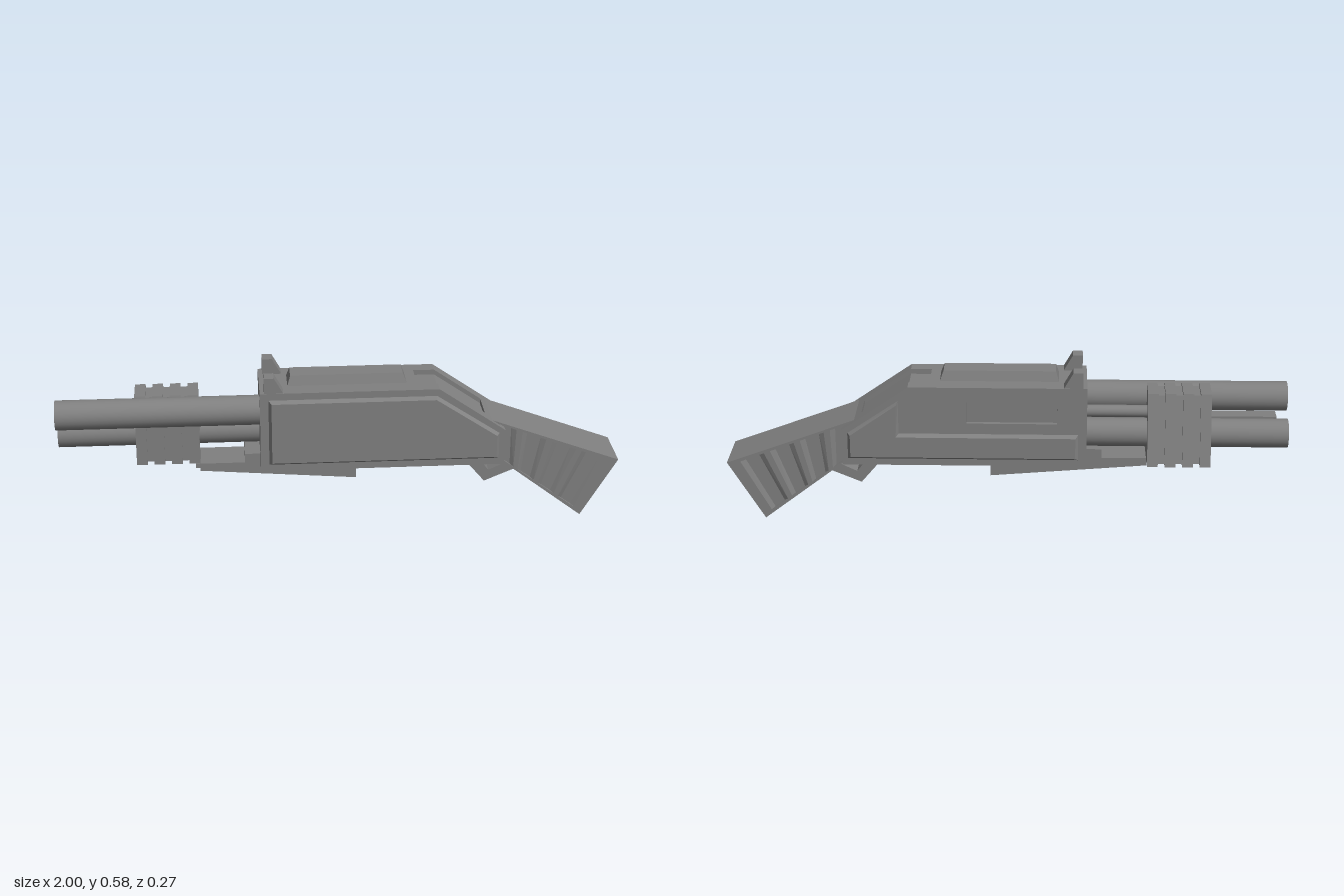
import * as THREE from 'three';
import { ConvexGeometry } from 'three/addons/geometries/ConvexGeometry.js';

const V = (x, y, z) => new THREE.Vector3(x, y, z);
const ZC = 0.007; // middle plane of the receiver and stock

export function createModel() {
  const model = new THREE.Group();
  const flat = new THREE.MeshStandardMaterial({ color: 0x808080, flatShading: true });
  const smooth = new THREE.MeshStandardMaterial({ color: 0x808080 });

  const add = (name, geometry, material = flat, parent = model) => {
    const mesh = new THREE.Mesh(geometry, material);
    mesh.name = name;
    parent.add(mesh);
  };
  const group = (name) => {
    const g = new THREE.Group();
    g.name = name;
    model.add(g);
    return g;
  };
  const toShape = (pts) => new THREE.Shape(pts.map(([x, y]) => new THREE.Vector2(x, y)));

  // Side profile (x, y) extruded between two z planes
  const slab = (name, pts, z0, z1, parent = model, holes = []) => {
    const shape = toShape(pts);
    shape.holes = holes.map(toShape);
    const geo = new THREE.ExtrudeGeometry(shape, { depth: z1 - z0, bevelEnabled: false });
    geo.translate(0, 0, z0);
    add(name, geo, flat, parent);
  };
  const box = (name, x0, x1, y0, y1, z0, z1) =>
    slab(name, [[x0, y0], [x1, y0], [x1, y1], [x0, y1]], z0, z1);
  // Chamfered plate sitting astride a side wall
  const plate = (name, pts, z) => {
    const geo = new THREE.ExtrudeGeometry(toShape(pts), {
      depth: 0.001, bevelEnabled: true, bevelThickness: 0.014,
      bevelSize: 0.01, bevelOffset: -0.01, bevelSegments: 1,
    });
    geo.translate(0, 0, z - 0.0005);
    add(name, geo);
  };
  // Tube along x
  const rod = (name, x0, x1, y, z, r) => {
    const geo = new THREE.CylinderGeometry(r, r, x1 - x0, 24);
    geo.rotateZ(Math.PI / 2);
    geo.translate((x0 + x1) / 2, y, z);
    add(name, geo, smooth);
  };
  // Convex cross-section (z, y) carried along x
  const prism = (name, section, x0, x1, parent = model) => add(name, new ConvexGeometry(
    section.flatMap(([z, y]) => [V(x0, y, z), V(x1, y, z)])), flat, parent);

  // Receiver: layers, with a cut in the rear slope and a port in the back wall
  const receiver = group('receiver');
  const outline = [[-0.285, 0.223], [0.583, 0.223], [0.583, 0.355], [0.345, 0.52], [-0.285, 0.52]];
  const notched = [[-0.285, 0.223], [0.583, 0.223], [0.583, 0.355], [0.515, 0.402], [0.515, 0.384],
    [0.345, 0.502], [0.27, 0.502], [0.27, 0.52], [-0.285, 0.52]];
  const port = [[-0.18, 0.385], [-0.18, 0.465], [0.14, 0.465], [0.14, 0.385]];
  slab('receiverLeftWall', outline, 0.07, 0.122, receiver);
  slab('receiverCore', notched, -0.055, 0.07, receiver);
  slab('receiverRightWall', outline, -0.093, -0.055, receiver);
  slab('receiverPortWall', outline, -0.108, -0.093, receiver, [port]);

  // Raised side plates
  plate('frontSidePlate',
    [[-0.255, 0.248], [0.562, 0.248], [0.562, 0.345], [0.337, 0.495], [-0.255, 0.495]], 0.122);
  plate('backSidePlate',
    [[-0.255, 0.248], [0.562, 0.248], [0.562, 0.345], [0.38, 0.469], [0.38, 0.345], [-0.255, 0.345]], -0.108);

  // Top rail with sloping sides and ends
  const rail = [];
  for (const [y, x0, x1, hz] of [[0.515, -0.187, 0.237, 0.051], [0.555, -0.175, 0.222, 0.037]]) {
    for (const x of [x0, x1]) for (const s of [-1, 1]) rail.push(V(x, y, ZC + s * hz));
  }
  add('topRail', new ConvexGeometry(rail));

  // Pair of sight posts
  for (const z of [0.071, -0.106]) {
    slab('sightPost', [[-0.27, 0.515], [-0.2, 0.515], [-0.235, 0.577], [-0.27, 0.577]], z, z + 0.049);
  }

  // Barrels, spacer bar and feed rod
  rod('upperBarrel', -1, -0.28, 0.434, 0.058, 0.053);
  rod('lowerBarrel', -1, -0.28, 0.327, -0.03, 0.052);
  rod('feedRod', -0.72, -0.28, 0.415, -0.05, 0.022);
  prism('barrelSpacer', [[-0.02, 0.345], [-0.005, 0.345], [0.035, 0.385], [-0.02, 0.385]], -0.96, -0.28);

  // Ribbed pump grip
  const grip = group('pumpGrip');
  const gripSection = (inset) => [
    [-0.137 + inset, 0.237 + inset], [0.07 - inset, 0.237 + inset], [0.07 - inset, 0.385],
    [0.038 - inset, 0.489 - inset], [-0.07 + inset, 0.489 - inset],
  ];
  prism('gripCore', gripSection(0.009), -0.715, -0.505, grip);
  for (let i = 0; i < 4; i++) {
    prism('gripRib', gripSection(0), -0.723 + i * 0.062, -0.685 + i * 0.062, grip);
  }

  // Carrier below the receiver
  box('carrierPlate', -0.515, 0.08, 0.22, 0.237, -0.06, 0.074);
  box('carrierBlock', -0.34, -0.28, 0.226, 0.27, -0.06, 0.074);
  slab('carrierWedge', [[-0.5, 0.202], [0.057, 0.157], [0.057, 0.228], [-0.5, 0.228]], -0.045, 0.059);

  // Angular trigger guard
  slab('triggerGuard', [[0.43, 0.23], [0.525, 0.117], [0.64, 0.165], [0.615, 0.195],
    [0.54, 0.16], [0.485, 0.23]], ZC - 0.032, ZC + 0.032);

  // Stock: u runs from receiver to butt, v from bottom edge to top edge
  const stock = group('stock');
  const at = (u, v) => {
    const bottom = [0.555 + 0.315 * u, 0.242 - 0.242 * u];
    const top = [0.53 + 0.47 * u, 0.389 - 0.173 * u];
    return [bottom[0] + (top[0] - bottom[0]) * v, bottom[1] + (top[1] - bottom[1]) * v];
  };
  const quad = (u0, u1, v0, v1) => [at(u0, v0), at(u1, v0), at(u1, v1), at(u0, v1)];
  const inner = 0.087, outer = 0.0955, v0 = 0.05, v1 = 0.95;
  const grooves = [0, 1, 2, 3].map((i) => [0.018 + 0.235 * i, 0.205 + 0.235 * i]);
  slab('stockCore', quad(0, 1, 0, 1), ZC - inner, ZC + inner, stock);
  for (const s of [-1, 1]) {
    const za = ZC + s * inner, zb = ZC + s * outer;
    slab('stockSide', quad(0, 1, 0, 1), Math.min(za, zb), Math.max(za, zb), stock,
      grooves.map(([a, b]) => quad(a, b, v0, v1)));
    // Ramps at both ends of each groove
    for (const [a, b] of grooves) {
      for (const [edge, foot] of [[a, a + 0.04], [b, b - 0.04]]) {
        const pts = [v0, v1].flatMap((v) => [
          V(...at(edge, v), za), V(...at(edge, v), zb), V(...at(foot, v), za),
        ]);
        add('grooveRamp', new ConvexGeometry(pts), flat, stock);
      }
    }
  }
  return model;
}
